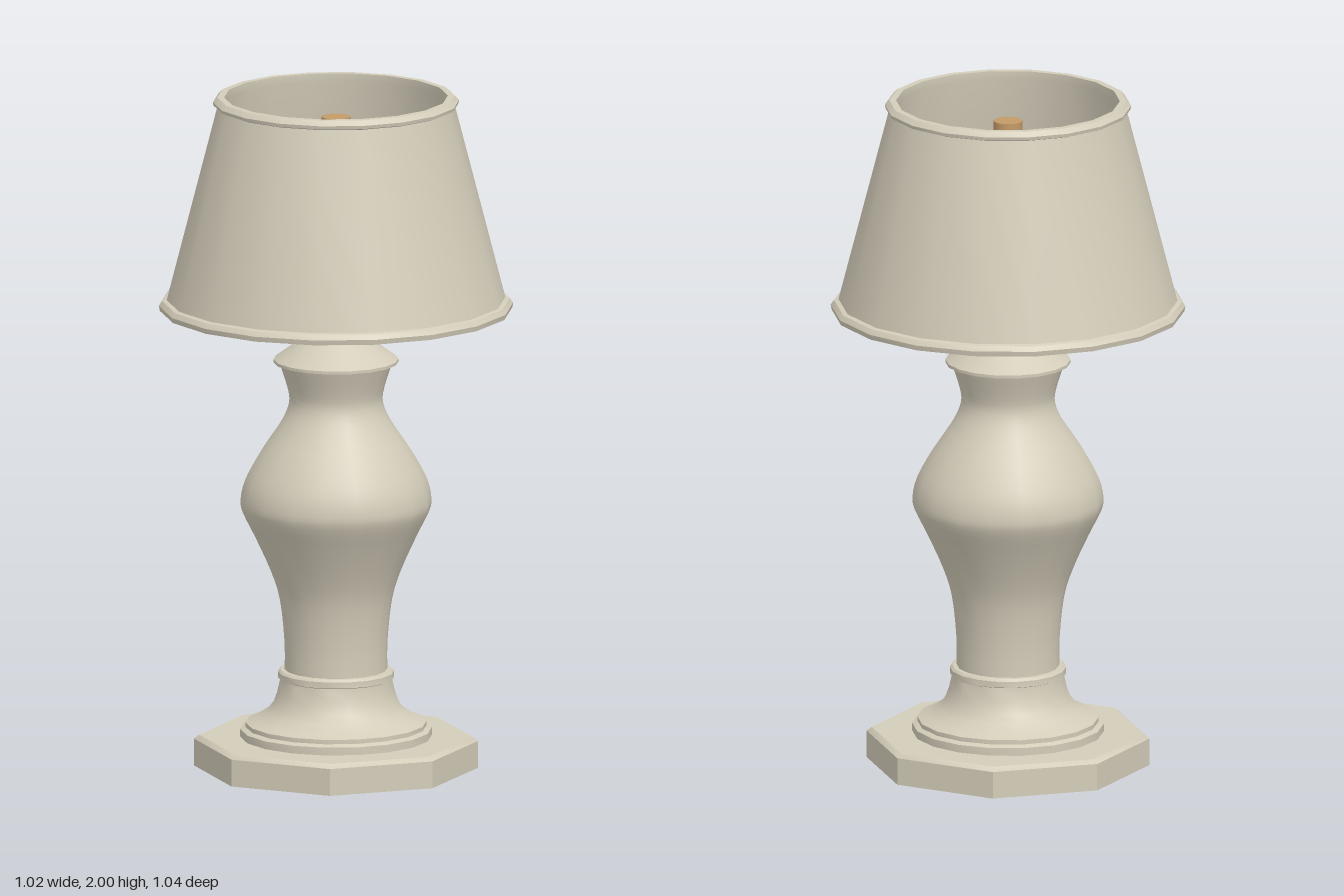
import * as THREE from 'three';
import { toCreasedNormals } from 'three/addons/utils/BufferGeometryUtils.js';

export function createModel() {
  const group = new THREE.Group();
  group.name = 'tableLamp';

  const cream = new THREE.MeshStandardMaterial({ color: 0xd3ccb9 });
  cream.name = 'cream';
  const wood = new THREE.MeshStandardMaterial({ color: 0xc49a68 });
  wood.name = 'wood';

  const add = (name, geometry, material, parent = group) => {
    const mesh = new THREE.Mesh(geometry, material);
    mesh.name = name;
    parent.add(mesh);
    return mesh;
  };

  // Turned part from [radius, height] pairs, with hard edges kept sharp
  const turned = (profile, sides = 18) => toCreasedNormals(
    new THREE.LatheGeometry(profile.map(([r, y]) => new THREE.Vector2(r, y)), sides),
    THREE.MathUtils.degToRad(35)
  );

  // Eight-sided plinth with a small top bevel
  add('plinth', turned([[0, 0], [0.415, 0], [0.415, 0.08], [0.4, 0.092], [0, 0.092]], 8), cream);

  // Stepped foot and collar
  add('foot', turned([
    [0.28, 0.09], [0.28, 0.115], [0.265, 0.122], [0.265, 0.135],
    [0.235, 0.147], [0.205, 0.167], [0.185, 0.19], [0.172, 0.225], [0.163, 0.265],
    [0.17, 0.268], [0.17, 0.286], [0.163, 0.293], [0.14, 0.293],
  ]), cream);

  // Vase-shaped body: a smooth curve closed by a sharp lip
  const curve = new THREE.SplineCurve([
    [0.15, 0.285], [0.151, 0.38], [0.164, 0.5], [0.19, 0.585], [0.235, 0.685],
    [0.272, 0.76], [0.279, 0.8], [0.265, 0.86], [0.222, 0.94], [0.162, 1.03],
    [0.138, 1.085], [0.141, 1.13], [0.165, 1.205],
  ].map(([r, y]) => new THREE.Vector2(r, y)));
  const body = curve.getPoints(36).map((p) => [p.x, p.y]);
  body.push([0.183, 1.208], [0.183, 1.217], [0.1, 1.277], [0, 1.277]);
  add('body', turned(body), cream);

  // Hollow shade with a rolled rim at each end
  add('shade', turned([
    [0.485, 1.365], [0.515, 1.365], [0.518, 1.38], [0.508, 1.394], [0.495, 1.397],
    [0.347, 1.972], [0.358, 1.976], [0.36, 1.986], [0.347, 2], [0.327, 2],
    [0.327, 1.975], [0.475, 1.4], [0.485, 1.365],
  ]), cream);

  // Central rod
  const rod = new THREE.CylinderGeometry(0.042, 0.042, 0.68, 18);
  rod.translate(0, 1.6, 0);
  add('rod', rod, wood);

  // Six spokes carrying the shade
  const spokes = new THREE.Group();
  spokes.name = 'spokes';
  group.add(spokes);
  const spoke = new THREE.CylinderGeometry(0.011, 0.011, 0.37, 10);
  spoke.rotateX(Math.PI / 2).translate(0, 1.75, 0.21);
  for (let i = 0; i < 6; i++) {
    add('spoke', spoke, wood, spokes).rotation.y = (i * Math.PI) / 3;
  }

  return group;
}
